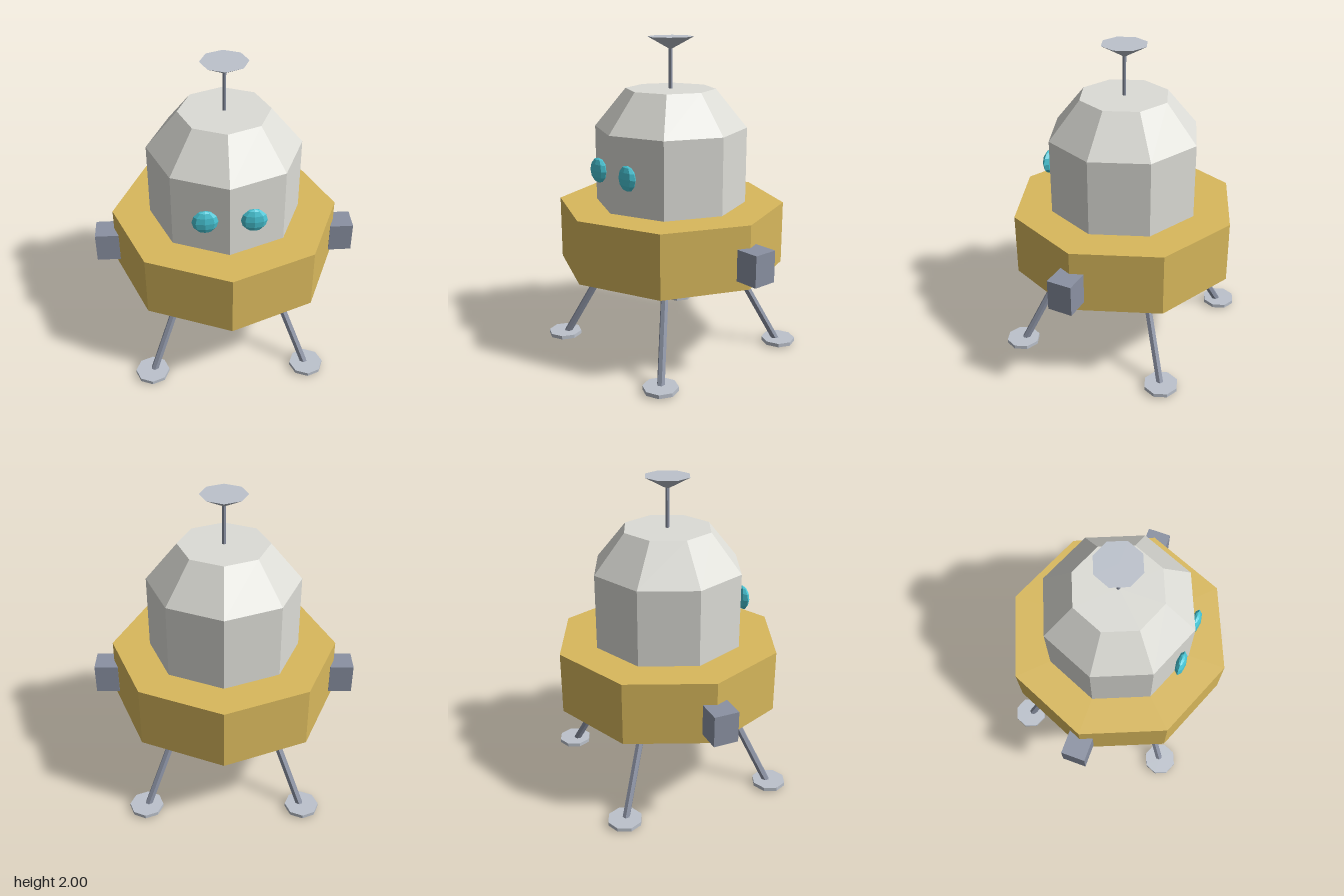
import * as THREE from 'three';

const mat = (name, color) => {
  const m = new THREE.MeshStandardMaterial({ color, flatShading: true });
  m.name = name;
  return m;
};

export function createModel() {
  const gold = mat('gold foil', 0xd8b85c);
  const hull = mat('hull white', 0xdcdcd6);
  const strut = mat('strut grey', 0x8a91a2);
  const pale = mat('pale metal', 0xbcc2cc);
  const dark = mat('engine dark', 0x3d414d);
  const glass = mat('window cyan', 0x48c6d6);

  const model = new THREE.Group();
  model.name = 'lander';
  const add = (name, geometry, material, x = 0, y = 0, z = 0) => {
    const mesh = new THREE.Mesh(geometry, material);
    mesh.name = name;
    mesh.position.set(x, y, z);
    model.add(mesh);
    return mesh;
  };
  // Vertical prism or frustum between two heights
  const prism = (name, material, rTop, rBottom, y0, y1, sides = 8, x = 0, z = 0) =>
    add(name, new THREE.CylinderGeometry(rTop, rBottom, y1 - y0, sides), material, x, (y0 + y1) / 2, z);

  // Octagonal body
  prism('descentStage', gold, 0.715, 0.715, 0.575, 0.97);
  prism('cabin', hull, 0.476, 0.476, 0.97, 1.446);
  prism('cabinRoof', hull, 0.28, 0.476, 1.446, 1.685);
  prism('engineNozzle', dark, 0.2, 0.113, 0.375, 0.575);

  // Antenna
  prism('antennaMast', strut, 0.012, 0.012, 1.685, 1.93, 6);
  prism('antennaDish', pale, 0.143, 0.001, 1.922, 2);

  for (const side of [1, -1]) {
    const label = side > 0 ? 'left' : 'right';
    add(label + 'Thruster', new THREE.BoxGeometry(0.15, 0.194, 0.155), strut, side * 0.76, 0.735, 0);

    // Flattened round window
    const pane = add(label + 'Window', new THREE.SphereGeometry(0.078, 8, 6), glass, side * 0.143, 1.21, 0.454);
    pane.scale.z = 0.4;

    // Splayed legs with foot pads
    for (const end of [1, -1]) {
      const corner = label + (end > 0 ? 'Front' : 'Back');
      const top = new THREE.Vector3(side * 0.268, 0.6, end * 0.268);
      const foot = new THREE.Vector3(side * 0.5, 0.015, end * 0.5);
      const dir = top.clone().sub(foot);
      const leg = add(corner + 'Leg', new THREE.CylinderGeometry(0.024, 0.024, dir.length(), 6), strut);
      leg.position.copy(top).add(foot).multiplyScalar(0.5);
      leg.quaternion.setFromUnitVectors(new THREE.Vector3(0, 1, 0), dir.normalize());
      prism(corner + 'FootPad', pale, 0.108, 0.108, 0.016, 0.04, 8, side * 0.506, end * 0.506);
    }
  }
  return model;
}
